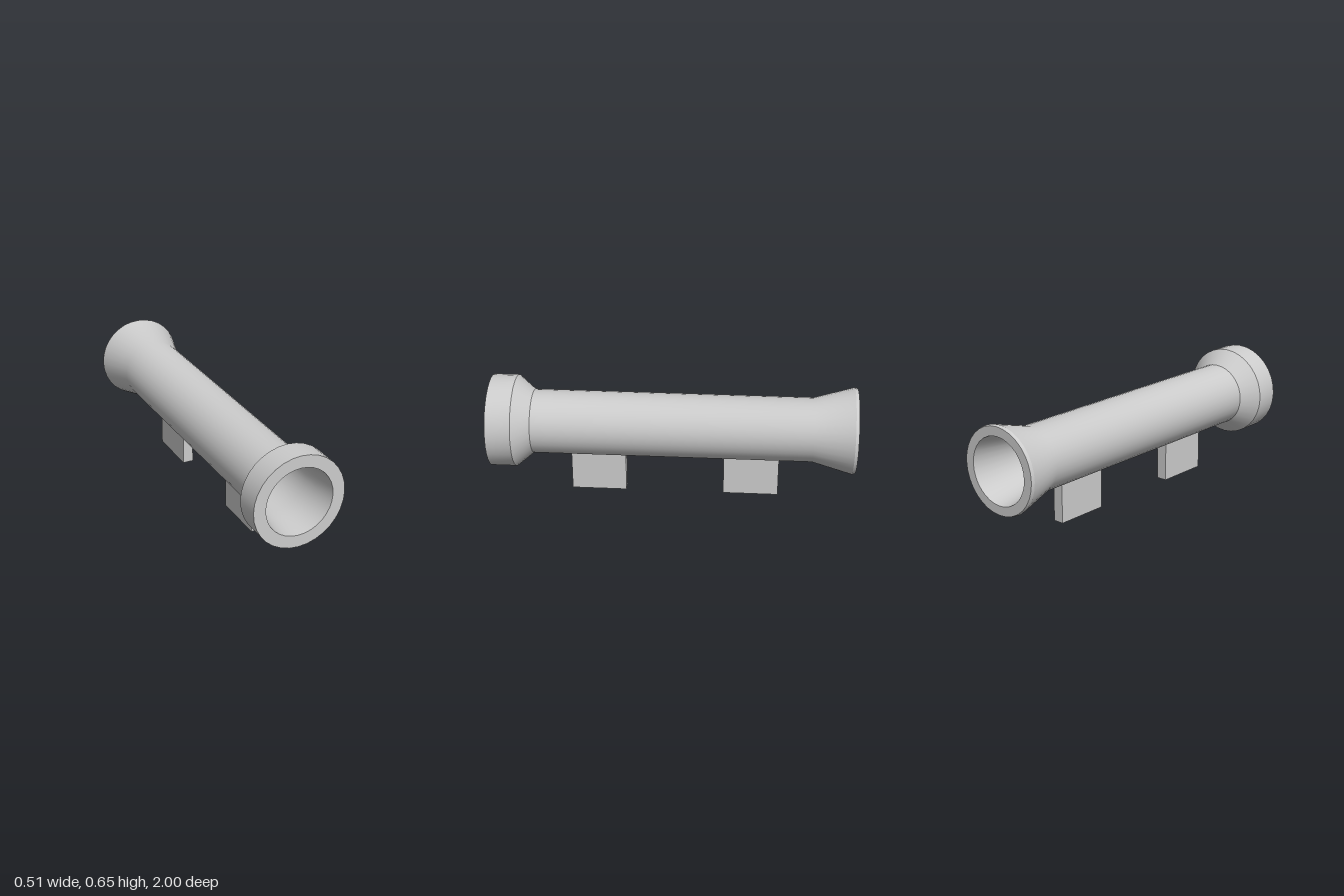
import * as THREE from 'three';
import { toCreasedNormals } from 'three/addons/utils/BufferGeometryUtils.js';

const AXIS_Y = 0.398;

export function createModel() {
  const model = new THREE.Group();
  model.name = 'launchTube';
  const material = new THREE.MeshStandardMaterial({ color: 0xcccccc });

  // Hollow tube with front collar and flared rear: [radius, z]
  const profile = [
    [0.182, -1], [0.233, -1], [0.238, -0.982], [0.177, -0.765],   // rear rim and flare
    [0.177, 0.77], [0.254, 0.862], [0.254, 1],                    // barrel and collar
    [0.187, 1], [0.17, 0.865], [0.166, 0.77],                     // front mouth
    [0.145, -0.765], [0.182, -1],                                 // tapering bore
  ].map(([r, z]) => new THREE.Vector2(r, z));
  const tubeGeometry = new THREE.LatheGeometry(profile, 32).rotateX(Math.PI / 2);
  const tube = new THREE.Mesh(toCreasedNormals(tubeGeometry, 0.5), material);
  tube.name = 'tube';
  tube.position.y = AXIS_Y;
  model.add(tube);

  // Two flat grips that reach just through the tube wall
  const gripHeight = 0.245;
  for (const [name, z] of [['frontGrip', 0.415], ['rearGrip', -0.435]]) {
    const grip = new THREE.Mesh(new THREE.BoxGeometry(0.06, gripHeight, 0.305), material);
    grip.name = name;
    grip.position.set(0, gripHeight / 2, z);
    model.add(grip);
  }
  return model;
}
